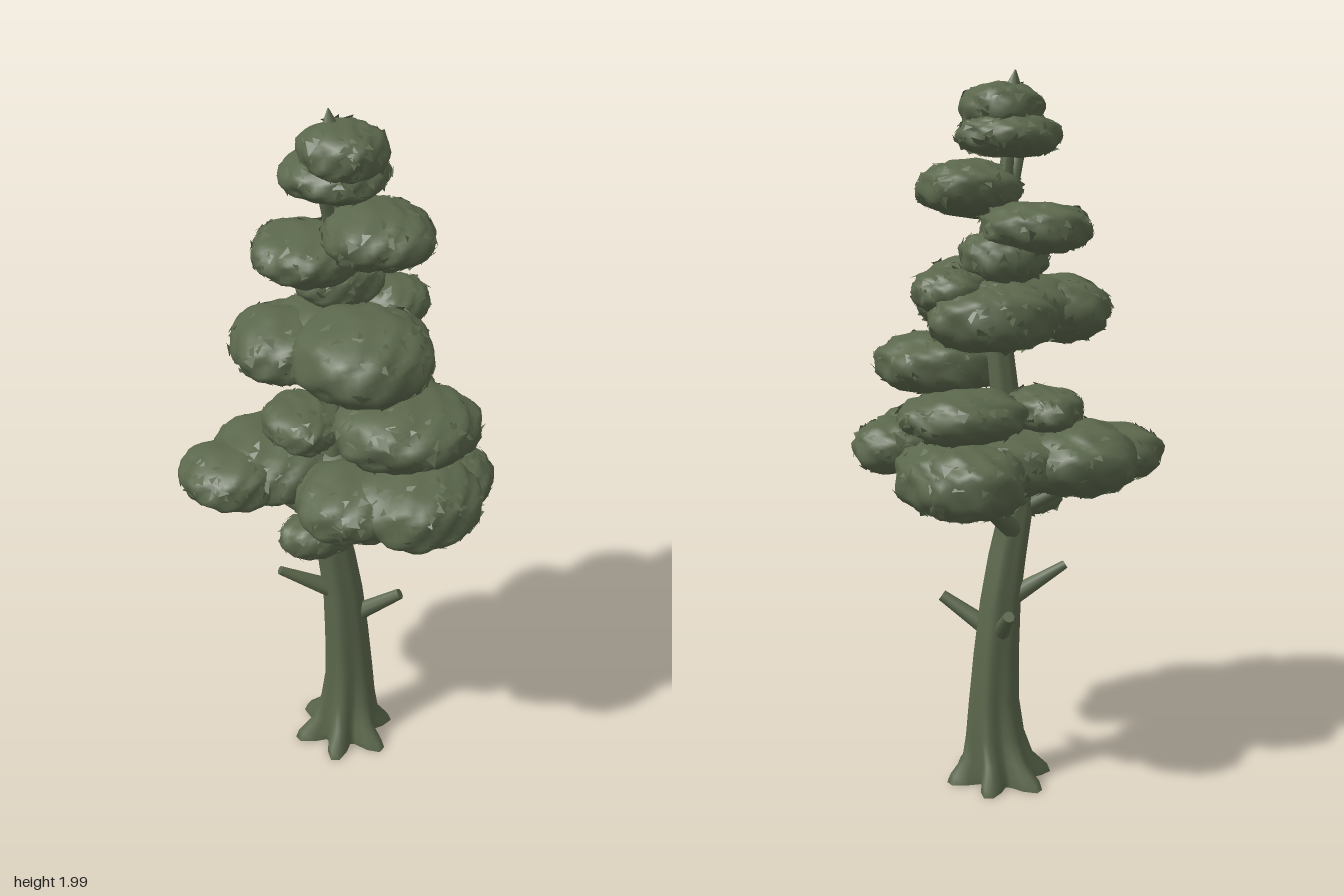
import * as THREE from 'three';
import { mergeVertices } from 'three/addons/utils/BufferGeometryUtils.js';

const green = new THREE.MeshStandardMaterial({ name: 'pine green', color: 0x5b674c, side: THREE.DoubleSide });

// Small seeded generator
let seed = 7;
const rand = () => {
  seed = (seed * 16807) % 2147483647;
  return seed / 2147483647;
};
const span = (s) => (rand() - 0.5) * 2 * s;

// Lofts rings of points into a closed tube with end caps
function loft(rings) {
  const n = rings[0].length, pos = [], index = [];
  rings.forEach((ring) => ring.forEach((p) => pos.push(p.x, p.y, p.z)));
  for (let i = 0; i < rings.length - 1; i++) {
    for (let j = 0; j < n; j++) {
      const a = i * n + j, b = i * n + (j + 1) % n;
      index.push(a, a + n, b, b, a + n, b + n);
    }
  }
  [0, rings.length - 1].forEach((r) => {
    const c = pos.length / 3, mid = new THREE.Vector3();
    rings[r].forEach((p) => mid.addScaledVector(p, 1 / n));
    const start = c + 1;
    pos.push(mid.x, mid.y, mid.z);
    rings[r].forEach((p) => pos.push(p.x, p.y, p.z));
    for (let j = 0; j < n; j++) {
      const a = start + j, b = start + (j + 1) % n;
      if (r === 0) index.push(c, a, b); else index.push(c, b, a);
    }
  });
  const geo = new THREE.BufferGeometry();
  geo.setAttribute('position', new THREE.Float32BufferAttribute(pos, 3));
  geo.setIndex(index);
  geo.computeVertexNormals();
  return geo;
}

// Trunk: leaning rings [y, x, x radius, z radius, root flare]
function trunkGeometry() {
  const rows = [
    [0.01, 0.03, 0.115, 0.115, 0.36], [0.035, 0.03, 0.11, 0.11, 0.32],
    [0.08, 0.035, 0.086, 0.084, 0.2], [0.15, 0.042, 0.075, 0.068, 0.12],
    [0.25, 0.045, 0.067, 0.056, 0.08], [0.4, 0.037, 0.064, 0.052, 0.05],
    [0.55, 0.025, 0.058, 0.05, 0.05], [0.68, 0.005, 0.053, 0.047, 0.05],
    [0.82, -0.022, 0.045, 0.045, 0.04], [1.3, 0.03, 0.036, 0.036, 0.04],
    [1.55, 0.03, 0.028, 0.028, 0.03], [1.9, -0.01, 0.012, 0.012, 0],
  ];
  return loft(rows.map(([y, x, rx, rz, flare]) => Array.from({ length: 36 }, (_, j) => {
    const a = -j / 36 * Math.PI * 2;
    const k = 1 + flare * Math.cos(6 * a + 0.4) + 0.03 * Math.sin(2 * a + y * 9);
    return new THREE.Vector3(x + rx * k * Math.cos(a), y, -0.007 + rz * k * Math.sin(a));
  })));
}

// Tapered limb between two points
function limb(name, from, to, r0, r1) {
  const a = new THREE.Vector3(...from), b = new THREE.Vector3(...to), d = b.clone().sub(a);
  const mesh = new THREE.Mesh(new THREE.CylinderGeometry(r1, r0, d.length(), 8, 1), green);
  mesh.position.copy(a).addScaledVector(d, 0.5);
  mesh.quaternion.setFromUnitVectors(new THREE.Vector3(0, 1, 0), d.normalize());
  mesh.name = name;
  return mesh;
}

// Foliage pad: flattened lumpy ball with a ragged skin of needle tufts
function foliagePad(center, radii, id) {
  const group = new THREE.Group();
  group.name = 'foliagePad';
  const r = new THREE.Vector3(...radii);
  const shape = (v) => {
    const lump = 1 + 0.045 * Math.sin(4 * v.x + id * 2.1) * Math.cos(3.5 * v.z + id)
      + 0.03 * Math.sin(8 * v.z + 5 * v.y + id * 1.7) + 0.025 * Math.sin(13 * v.x - 9 * v.y + id);
    const y = Math.sign(v.y) * Math.pow(Math.abs(v.y), 0.8);
    return v.set(v.x * r.x, y * r.y, v.z * r.z).multiplyScalar(lump * 0.99);
  };

  let body = new THREE.IcosahedronGeometry(1, 8);
  body.deleteAttribute('uv');
  body.deleteAttribute('normal');
  body = mergeVertices(body, 1e-4);
  const p = body.attributes.position, v = new THREE.Vector3();
  for (let i = 0; i < p.count; i++) {
    shape(v.fromBufferAttribute(p, i)).multiplyScalar(1 + span(0.015));
    p.setXYZ(i, v.x, v.y, v.z);
  }
  body.computeVertexNormals();
  const bodyMesh = new THREE.Mesh(body, green);
  bodyMesh.name = 'foliageBody';

  // Loose tufts lying almost flat on the skin
  const pts = [], count = Math.round(800 * Math.sqrt(r.x * r.z));
  for (let i = 0; i < count; i++) {
    const h = span(0.9), a = rand() * Math.PI * 2, w = Math.sqrt(1 - h * h);
    const base = shape(new THREE.Vector3(w * Math.cos(a), h, w * Math.sin(a)));
    const out = new THREE.Vector3(base.x / r.x ** 2, base.y / r.y ** 2, base.z / r.z ** 2).normalize();
    const side = new THREE.Vector3(span(1), span(1), span(1)).cross(out).normalize();
    const along = side.clone().cross(out);
    const s = 0.012 + rand() * 0.014;
    const corners = [[-0.7, -0.5, -0.003], [0.7, -0.5, 0], [span(0.5), 0.8, 0.002 + rand() * 0.006]]
      .map(([x, y, lift]) => base.clone().addScaledVector(side, x * s)
        .addScaledVector(along, y * s).addScaledVector(out, lift));
    // Keep the outward face in front
    const normal = corners[1].clone().sub(corners[0]).cross(corners[2].clone().sub(corners[0]));
    if (normal.dot(out) < 0) corners.reverse();
    corners.forEach((q) => pts.push(q.x, q.y, q.z));
  }
  const tufts = new THREE.BufferGeometry();
  tufts.setAttribute('position', new THREE.Float32BufferAttribute(pts, 3));
  tufts.computeVertexNormals();
  const tuftMesh = new THREE.Mesh(tufts, green);
  tuftMesh.name = 'needleTufts';

  group.add(bodyMesh, tuftMesh);
  group.position.set(...center);
  return group;
}

export function createModel() {
  seed = 7;
  const tree = new THREE.Group();
  tree.name = 'pineTree';

  const trunk = new THREE.Mesh(trunkGeometry(), green);
  trunk.name = 'trunk';
  tree.add(trunk);

  // Broken stubs, lowest branches and the leading shoot
  tree.add(
    limb('stub', [0, 0.55, -0.01], [-0.16, 0.64, -0.02], 0.03, 0.013),
    limb('stub', [0.05, 0.455, 0], [0.18, 0.55, 0.06], 0.028, 0.016),
    limb('stub', [0.03, 0.455, -0.03], [0.035, 0.54, -0.145], 0.026, 0.016),
    limb('branch', [-0.01, 0.75, -0.02], [0.13, 0.89, -0.2], 0.03, 0.02),
    limb('branch', [-0.02, 0.8, 0], [-0.2, 0.91, -0.08], 0.026, 0.016),
    limb('branch', [-0.02, 0.74, 0], [-0.08, 0.82, 0.09], 0.024, 0.016),
    limb('branch', [0, 0.85, 0], [0.15, 0.95, 0.16], 0.026, 0.018),
    limb('branch', [0.01, 1.6, 0], [-0.04, 1.8, 0.03], 0.02, 0.016),
    limb('treeTip', [-0.015, 1.94, 0.01], [-0.02, 2, 0.005], 0.03, 0.002),
  );

  // Foliage pads from the bottom tier up: [centre, radii]
  const pads = [
    [[-0.075, 0.822, 0.09], [0.105, 0.06, 0.075]],
    // Wide lowest tier
    [[-0.16, 0.97, -0.105], [0.18, 0.1, 0.195]],
    [[-0.275, 0.97, -0.045], [0.15, 0.078, 0.145]],
    [[0.03, 0.965, -0.1], [0.2, 0.09, 0.18]],
    [[0.16, 0.945, -0.24], [0.135, 0.1, 0.155]],
    [[0.215, 0.945, -0.16], [0.125, 0.095, 0.18]],
    [[0.17, 0.975, 0.2], [0.18, 0.105, 0.195]],
    [[0.01, 0.96, 0.15], [0.16, 0.09, 0.17]],
    [[0.29, 0.975, 0.13], [0.125, 0.078, 0.12]],
    // Second tier
    [[0.16, 1.105, -0.15], [0.17, 0.07, 0.15]],
    [[-0.08, 1.1, -0.06], [0.105, 0.06, 0.14]],
    [[0.14, 1.2, 0.19], [0.195, 0.09, 0.19]],
    // Middle tier
    [[0.04, 1.39, 0.14], [0.185, 0.11, 0.195]],
    [[-0.13, 1.37, -0.02], [0.15, 0.09, 0.17]],
    [[0.08, 1.36, -0.14], [0.17, 0.09, 0.145]],
    [[0.02, 1.375, -0.05], [0.2, 0.1, 0.18]],
    [[0.18, 1.43, -0.08], [0.1, 0.06, 0.115]],
    // Upper tiers
    [[0.03, 1.515, -0.08], [0.12, 0.075, 0.11]],
    [[-0.05, 1.59, -0.09], [0.15, 0.07, 0.16]],
    [[0.09, 1.69, 0.07], [0.145, 0.077, 0.155]],
    [[0, 1.83, 0], [0.14, 0.06, 0.13]],
    [[0.01, 1.9, 0.03], [0.11, 0.07, 0.12]],
  ];
  const crown = new THREE.Group();
  crown.name = 'crown';
  pads.forEach(([c, r], i) => crown.add(foliagePad(c, r, i)));
  tree.add(crown);
  return tree;
}
